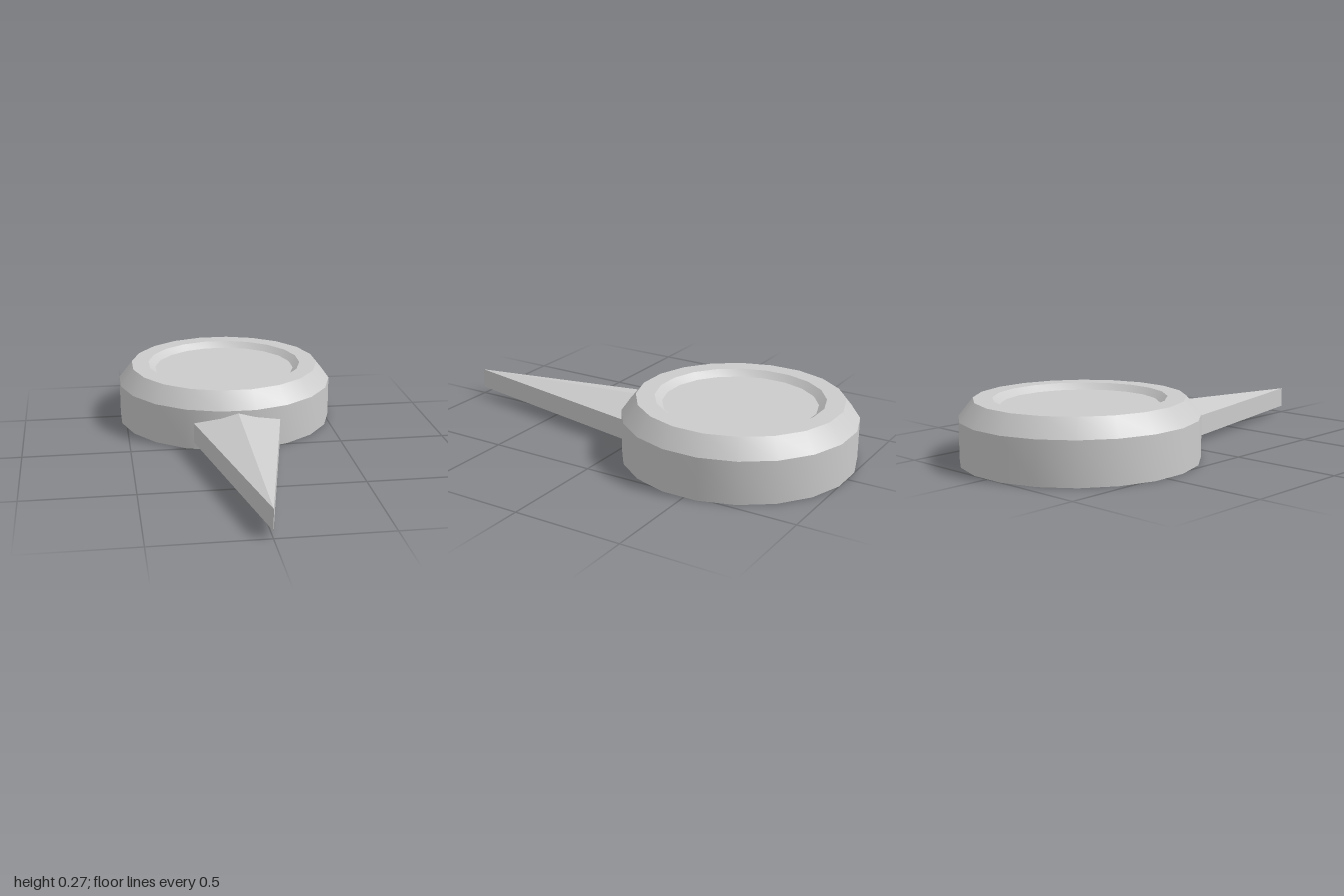
import * as THREE from 'three';
import { toCreasedNormals } from 'three/addons/utils/BufferGeometryUtils.js';

const SIDES = 20;

export function createModel() {
  const group = new THREE.Group();
  const material = new THREE.MeshStandardMaterial({ color: 0xcccccc });

  const add = (name, geometry) => {
    const mesh = new THREE.Mesh(geometry, material);
    mesh.name = name;
    group.add(mesh);
    return mesh;
  };

  // Round body: wall, bevel, flat rim and shallow dished top.
  // Profile radii are measured to the middle of each flat side.
  const toCorner = 1 / Math.cos(Math.PI / SIDES);
  const profile = [
    [0, 0], [0.522, 0], [0.522, 0.192], [0.458, 0.273],
    [0.375, 0.273], [0.342, 0.245], [0, 0.245],
  ].map(([r, y]) => new THREE.Vector2(r * toCorner, y));
  const bodyGeometry = new THREE.LatheGeometry(profile, SIDES, Math.PI / SIDES);
  add('dialBody', toCreasedNormals(bodyGeometry, 0.42)).position.z = -0.478;

  // Tapered pointer: ridged cross-section narrowing to a vertical edge.
  const w = 0.209, bottom = 0.032, shoulder = 0.127, ridge = 0.183;
  const back = -0.02, tip = 1;
  const pointer = new THREE.BufferGeometry();
  pointer.setAttribute('position', new THREE.Float32BufferAttribute([
    -w, bottom, back, w, bottom, back, w, shoulder, back,
    0, ridge, back, -w, shoulder, back,
    0, bottom, tip, 0, shoulder, tip,
  ], 3));
  pointer.setIndex([
    0, 1, 5, // underside
    1, 2, 6, 1, 6, 5, // left side
    0, 5, 6, 0, 6, 4, // right side
    2, 3, 6, 3, 4, 6, // sloping top
    0, 4, 3, 0, 3, 2, 0, 2, 1, // back end
  ]);
  const flatPointer = pointer.toNonIndexed();
  flatPointer.computeVertexNormals();
  add('pointer', flatPointer);

  return group;
}
